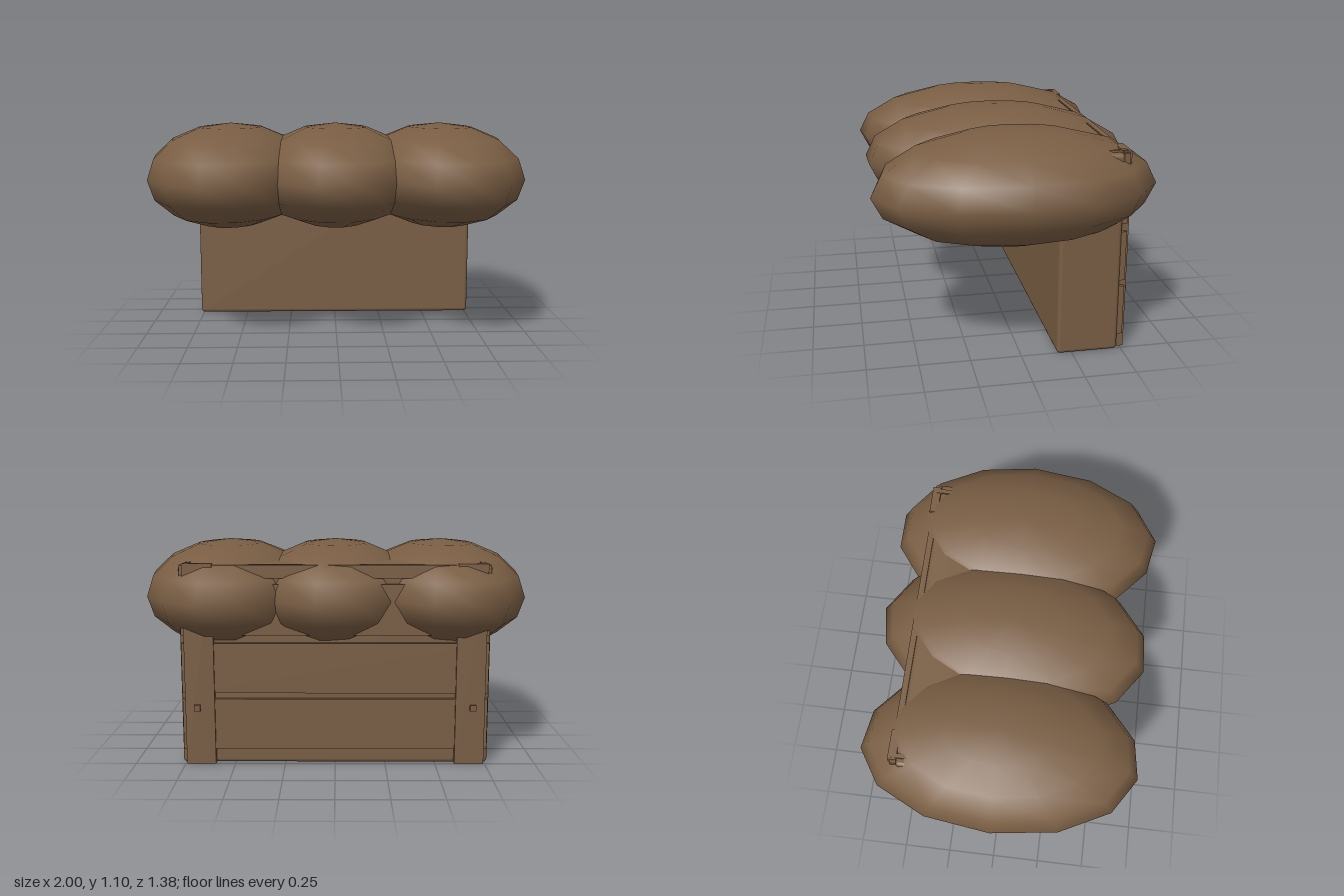
import * as THREE from 'three';
import { RoundedBoxGeometry } from 'three/addons/geometries/RoundedBoxGeometry.js';

const brown = new THREE.MeshStandardMaterial({ color: 0x7a5e44 });
brown.name = 'brown';

export function createModel() {
  const model = new THREE.Group();
  model.name = 'model';

  const add = (name, geometry, x = 0, y = 0, z = 0) => {
    const mesh = new THREE.Mesh(geometry, brown);
    mesh.name = name;
    mesh.position.set(x, y, z);
    model.add(mesh);
  };
  // Box given by its limits on each axis
  const box = (name, x0, x1, y0, y1, z0, z1) =>
    add(name, new THREE.BoxGeometry(x1 - x0, y1 - y0, z1 - z0),
      (x0 + x1) / 2, (y0 + y1) / 2, (z0 + z1) / 2);

  // Three plump cushions, each end slightly skewed
  const cushion = (name, x, backSkew, frontSkew) => {
    const geometry = new THREE.SphereGeometry(1, 14, 8).scale(0.44, 0.275, 0.69);
    const p = geometry.attributes.position;
    for (let i = 0; i < p.count; i++) {
      const z = p.getZ(i);
      p.setZ(i, z * (1 + (z < 0 ? backSkew : frontSkew) * p.getX(i)));
    }
    add(name, geometry, x, 0.825, 0);
  };
  cushion('rightCushion', -0.56, -0.25, -0.22);
  cushion('middleCushion', 0, 0.25, -0.07);
  cushion('leftCushion', 0.56, 0, 0.28);

  // Upright body
  add('body', new RoundedBoxGeometry(1.53, 1.0, 0.305, 2, 0.02), 0, 0.505, -0.3275);

  // Planks across the back, with narrow gaps
  for (const [y0, y1] of [[0.085, 0.34], [0.37, 0.62], [0.66, 0.91], [0.94, 1.005]]) {
    box('backPlank', -0.755, 0.755, y0, y1, -0.505, -0.475);
  }

  // Corner posts with a folded top and a square peg
  for (const [side, s] of [['left', 1], ['right', -1]]) {
    const part = (name, a, b, ...rest) =>
      box(side + name, Math.min(a * s, b * s), Math.max(a * s, b * s), ...rest);
    part('Post', 0.595, 0.74, 0.01, 1.012, -0.517, -0.475);
    part('PostReturn', 0.708, 0.73, 0.9, 1.015, -0.5, -0.41);
    part('Peg', 0.665, 0.695, 0.285, 0.315, -0.535, -0.51);
  }

  return model;
}
